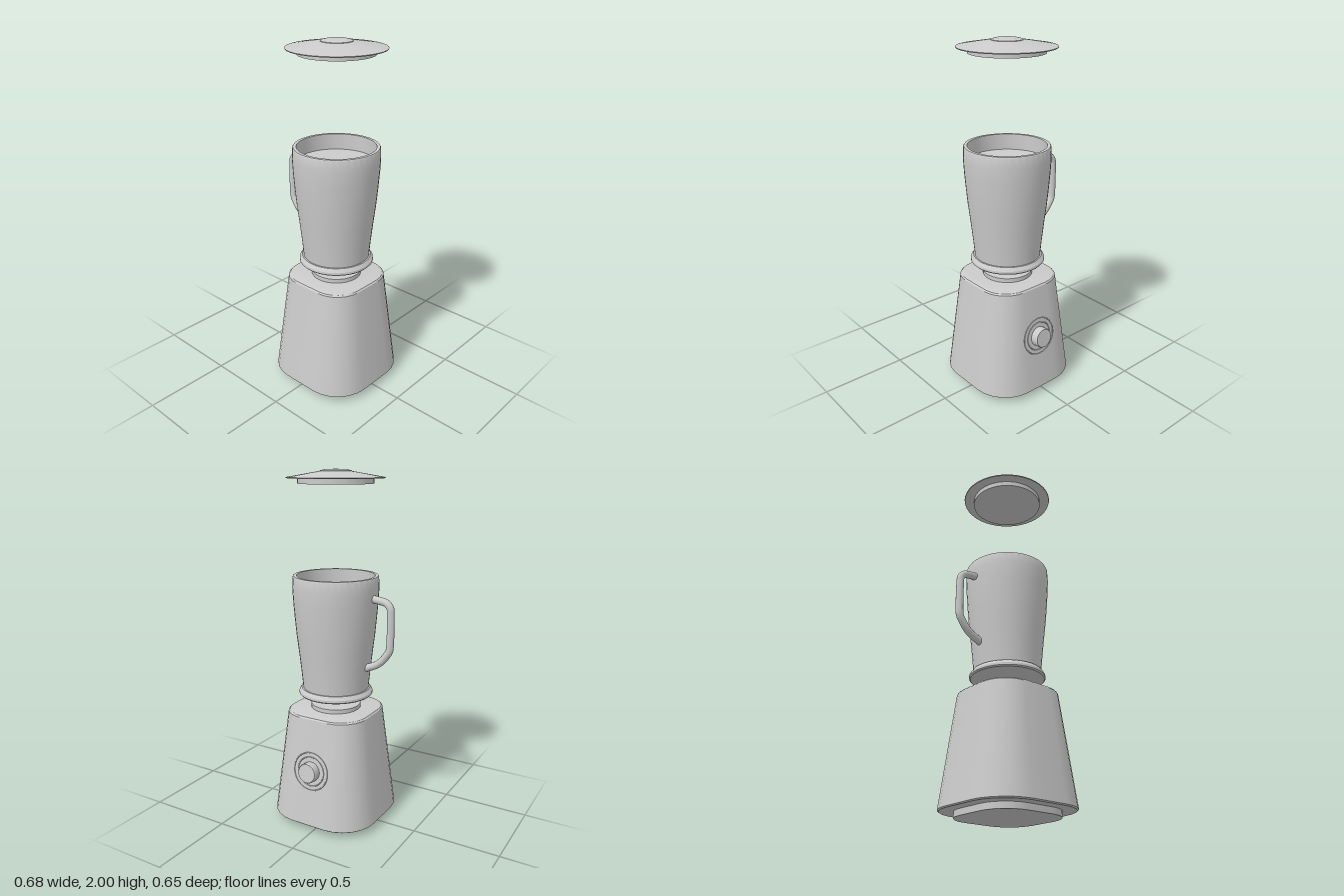
import * as THREE from 'three';
import { toCreasedNormals } from 'three/addons/utils/BufferGeometryUtils.js';

const material = new THREE.MeshStandardMaterial({ color: 0xcccccc });

function part(name, geometry) {
  const mesh = new THREE.Mesh(toCreasedNormals(geometry, 0.5), material);
  mesh.name = name;
  return mesh;
}

// Round part from [radius, y] pairs, listed from the bottom up the outside
function lathe(name, profile, sides = 40) {
  return part(name, new THREE.LatheGeometry(profile.map(([r, y]) => new THREE.Vector2(r, y)), sides));
}

// Closed loft through rounded-square sections given as [half width, corner radius, y]
function roundedLoft(name, sections, steps = 6) {
  const positions = [], index = [];
  const count = 4 * (steps + 1);
  for (const [half, radius, y] of sections) {
    for (let corner = 0; corner < 4; corner++) {
      const mid = (corner + 0.5) * Math.PI / 2;
      const cx = Math.sign(Math.cos(mid)) * (half - radius);
      const cz = Math.sign(Math.sin(mid)) * (half - radius);
      for (let i = 0; i <= steps; i++) {
        const a = (corner + i / steps) * Math.PI / 2;
        positions.push(cx + radius * Math.cos(a), y, cz + radius * Math.sin(a));
      }
    }
  }
  for (let s = 0; s < sections.length - 1; s++) {
    for (let i = 0; i < count; i++) {
      const a = s * count + i, b = s * count + (i + 1) % count;
      index.push(a, a + count, b, b, a + count, b + count);
    }
  }
  // End caps
  const top = (sections.length - 1) * count;
  for (let i = 1; i < count - 1; i++) {
    index.push(0, i, i + 1, top, top + i + 1, top + i);
  }
  const geometry = new THREE.BufferGeometry();
  geometry.setAttribute('position', new THREE.Float32BufferAttribute(positions, 3));
  geometry.setIndex(index);
  return part(name, geometry);
}

export function createModel() {
  const model = new THREE.Group();
  model.name = 'blender';

  // Motor base
  const base = new THREE.Group();
  base.name = 'base';
  base.add(
    roundedLoft('foot', [[0.243, 0.16, 0], [0.243, 0.16, 0.04]]),
    roundedLoft('motorHousing', [
      [0.31, 0.205, 0.034], [0.317, 0.21, 0.04], [0.243, 0.16, 0.655], [0.236, 0.155, 0.663], [0.215, 0.145, 0.668],
    ]),
    lathe('coupling', [[0, 0.66], [0.143, 0.66], [0.143, 0.692], [0, 0.692]]),
  );

  // Control knob and dial rings, leaning with the back face
  const control = new THREE.Group();
  control.name = 'control';
  const knob = lathe('knob', [[0, -0.01], [0.057, -0.01], [0.057, 0.038], [0.053, 0.044], [0, 0.044]], 32);
  knob.rotation.x = -Math.PI / 2;
  control.add(knob);
  for (const radius of [0.084, 0.109]) {
    control.add(part('dialRing', new THREE.TorusGeometry(radius, 0.003, 6, 40)));
  }
  control.position.set(0, 0.36, -0.279);
  control.rotation.x = 0.119;
  base.add(control);

  // Hollow jar with its inner floor just below the rim
  const jar = new THREE.Group();
  jar.name = 'jar';
  jar.add(
    lathe('collar', [[0, 0.75], [0.205, 0.75], [0.212, 0.757], [0.211, 0.77], [0.197, 0.79], [0, 0.79]]),
    lathe('jarBody', [
      [0, 0.785], [0.188, 0.785], [0.197, 0.88], [0.21, 1.0], [0.222, 1.1], [0.231, 1.2], [0.238, 1.29],
      [0.242, 1.37], [0.239, 1.43], [0.236, 1.435], [0.218, 1.435], [0.218, 1.345], [0, 1.345],
    ]),
  );

  // Handle on the model's right
  const path = new THREE.CatmullRomCurve3([
    [-0.215, 1.324], [-0.27, 1.318], [-0.315, 1.308], [-0.338, 1.285], [-0.342, 1.25],
    [-0.342, 1.08], [-0.338, 1.045], [-0.318, 1.012], [-0.29, 0.978], [-0.26, 0.955], [-0.19, 0.924],
  ].map(([x, y]) => new THREE.Vector3(x, y, 0)), false, 'centripetal');
  jar.add(part('handle', new THREE.TubeGeometry(path, 48, 0.021, 14)));

  // Lid floating above the jar
  const lid = new THREE.Group();
  lid.name = 'lid';
  lid.add(
    lathe('lidPlug', [[0, 1.925], [0.206, 1.925], [0.206, 1.96], [0, 1.96]]),
    lathe('lidBrim', [[0, 1.953], [0.264, 1.953], [0.266, 1.958], [0.14, 1.98], [0.085, 1.989], [0, 1.989]]),
    lathe('lidCap', [[0, 1.98], [0.085, 1.98], [0.085, 1.992], [0.06, 1.998], [0.015, 2.0], [0, 2.0]]),
  );

  // The handle shifts the body off the middle
  model.add(base, jar, lid);
  for (const group of model.children) group.position.set(0.022, 0, 0.003);
  return model;
}
